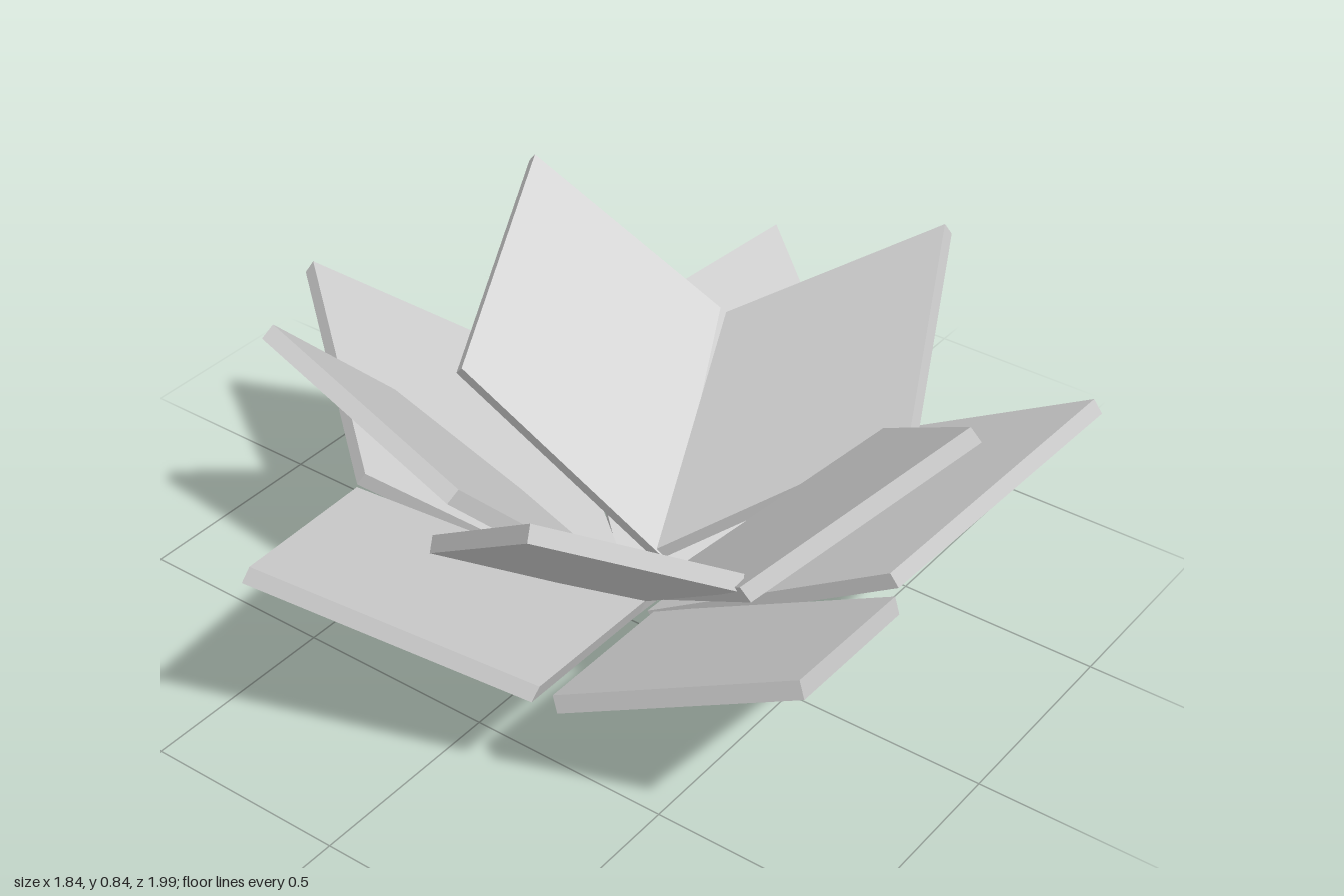
import * as THREE from 'three';

const THICKNESS = 0.04;

// Flat kite-shaped petal: tip at the origin, body running down -y
function petalGeometry(scale) {
  const kite = new THREE.Shape([
    new THREE.Vector2(0, 0),
    new THREE.Vector2(-0.385 * scale, -0.52 * scale),
    new THREE.Vector2(0, -1.14 * scale),
    new THREE.Vector2(0.385 * scale, -0.52 * scale),
  ]);
  const geometry = new THREE.ExtrudeGeometry(kite, { depth: THICKNESS, bevelEnabled: false });
  return geometry.translate(0, 0, -THICKNESS / 2);
}

// Places a petal by its tip, its heading around y, its rise and its roll (degrees)
function placePetal(mesh, [x, y, z, heading, rise, roll]) {
  const a = THREE.MathUtils.degToRad(heading);
  const p = THREE.MathUtils.degToRad(rise);
  const along = new THREE.Vector3(Math.cos(a) * Math.cos(p), Math.sin(p), Math.sin(a) * Math.cos(p));
  const side = new THREE.Vector3(-Math.sin(a), 0, Math.cos(a));
  side.applyAxisAngle(along, THREE.MathUtils.degToRad(-roll));
  const normal = new THREE.Vector3().crossVectors(side, along);
  mesh.quaternion.setFromRotationMatrix(new THREE.Matrix4().makeBasis(side, along, normal));
  mesh.position.set(x, y, z);
}

// Tip x, y, z, then heading, rise, roll
const OUTER = [
  [0.91, 0.635, 0.605, 37.5, 30.7, -6],
  [-0.195, 0.63, 0.98, 107.4, 28.4, 4],
  [-0.915, 0.625, 0, 180, 30.7, -11],
  [-0.23, 0.51, -0.99, -106.2, 25.2, -8],
  [0.88, 0.615, -0.625, -39.8, 29.6, 13],
];
const INNER = [
  [0.32, 0.8, 0.7, 71, 43.4, -4],
  [-0.62, 0.78, 0.445, 148, 40, -24],
  [-0.585, 0.835, -0.45, -152, 43.9, -4],
  [0.32, 0.75, -0.89, -73.4, 34.5, 3],
  [0.86, 0.82, -0.1, -7.5, 43.2, 1],
];

export function createModel() {
  const model = new THREE.Group();
  model.name = 'openFlower';
  const material = new THREE.MeshStandardMaterial({ color: 0xcccccc, flatShading: true });

  // Two rings of petals, the inner ones smaller and steeper
  const addRing = (name, scale, placements) => {
    const ring = new THREE.Group();
    ring.name = name + 'Ring';
    const geometry = petalGeometry(scale);
    placements.forEach((placement, i) => {
      const petal = new THREE.Mesh(geometry, material);
      petal.name = name + (i + 1);
      placePetal(petal, placement);
      ring.add(petal);
    });
    model.add(ring);
  };
  addRing('outerPetal', 1, OUTER);
  addRing('innerPetal', 0.9, INNER);
  return model;
}
